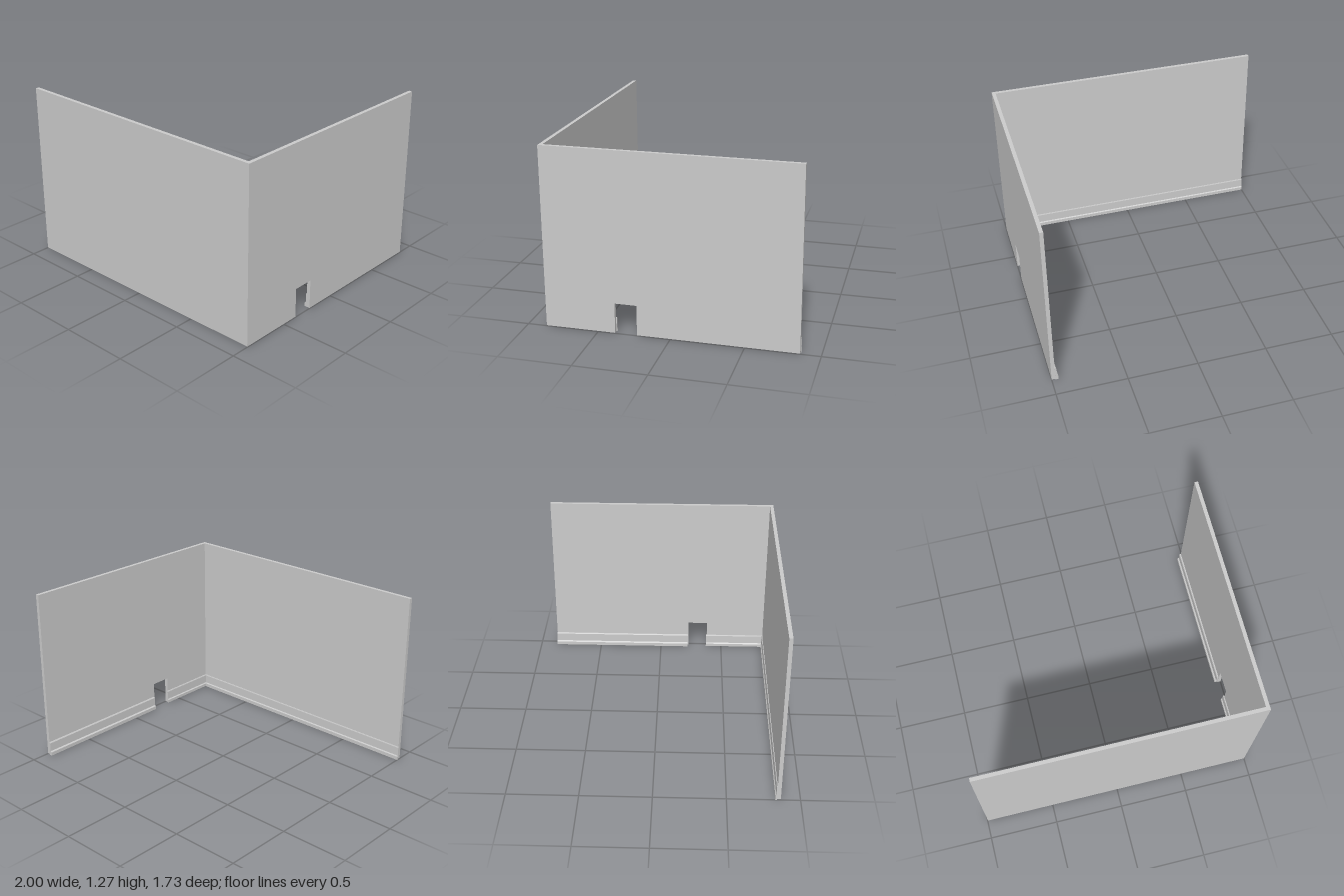
import * as THREE from 'three';

const H = 1.27, BASE = 0.004;      // wall top and wall underside
const SIDE_X = 0.974, OUT_Z = 0.867; // inner face of side wall, outer face of front wall
const FRONT_Z = 0.841;             // inner face of front wall

export function createModel() {
  const group = new THREE.Group();
  const material = new THREE.MeshStandardMaterial({ color: 0xcccccc, flatShading: true });

  const polygon = (pts) => new THREE.Shape(pts.map(([x, y]) => new THREE.Vector2(x, y)));

  function extrude(name, pts, depth, position, turn = 0) {
    const geometry = new THREE.ExtrudeGeometry(polygon(pts), { depth, bevelEnabled: false });
    const mesh = new THREE.Mesh(geometry, material);
    mesh.name = name;
    mesh.position.set(...position);
    mesh.rotation.y = turn;
    group.add(mesh);
  }

  // Front wall: plain slab running the full width
  extrude('frontWall', [[-0.997, BASE], [1, BASE], [1, H], [-0.997, H]],
    OUT_Z - FRONT_Z, [0, 0, FRONT_Z]);

  // Side wall with a small opening at floor level (profile x is -z)
  extrude('sideWall', [
    [-FRONT_Z, BASE], [-0.38, BASE], [-0.38, 0.217], [-0.228, 0.217],
    [-0.228, BASE], [0.864, BASE], [0.864, H], [-FRONT_Z, H],
  ], 1 - SIDE_X, [SIDE_X, 0, 0], Math.PI / 2);

  // Skirting board section: flat board with a thicker shoe strip at the floor
  const skirting = (board, shoe, bottom) => [
    [0, bottom], [0, 0.105], [-board * 0.6, 0.105], [-board, 0.098],
    [-board, 0.034], [-shoe, 0.026], [-shoe, bottom],
  ];

  extrude('frontSkirting', skirting(0.006, 0.012, 0), 1.974,
    [SIDE_X, 0, FRONT_Z], -Math.PI / 2);
  extrude('nearSideSkirting', skirting(0.008, 0.015, BASE), FRONT_Z - 0.374,
    [SIDE_X, 0, 0.374]);
  extrude('farSideSkirting', skirting(0.011, 0.021, 0), 0.223 + 0.867,
    [SIDE_X, 0, -0.867]);

  return group;
}
